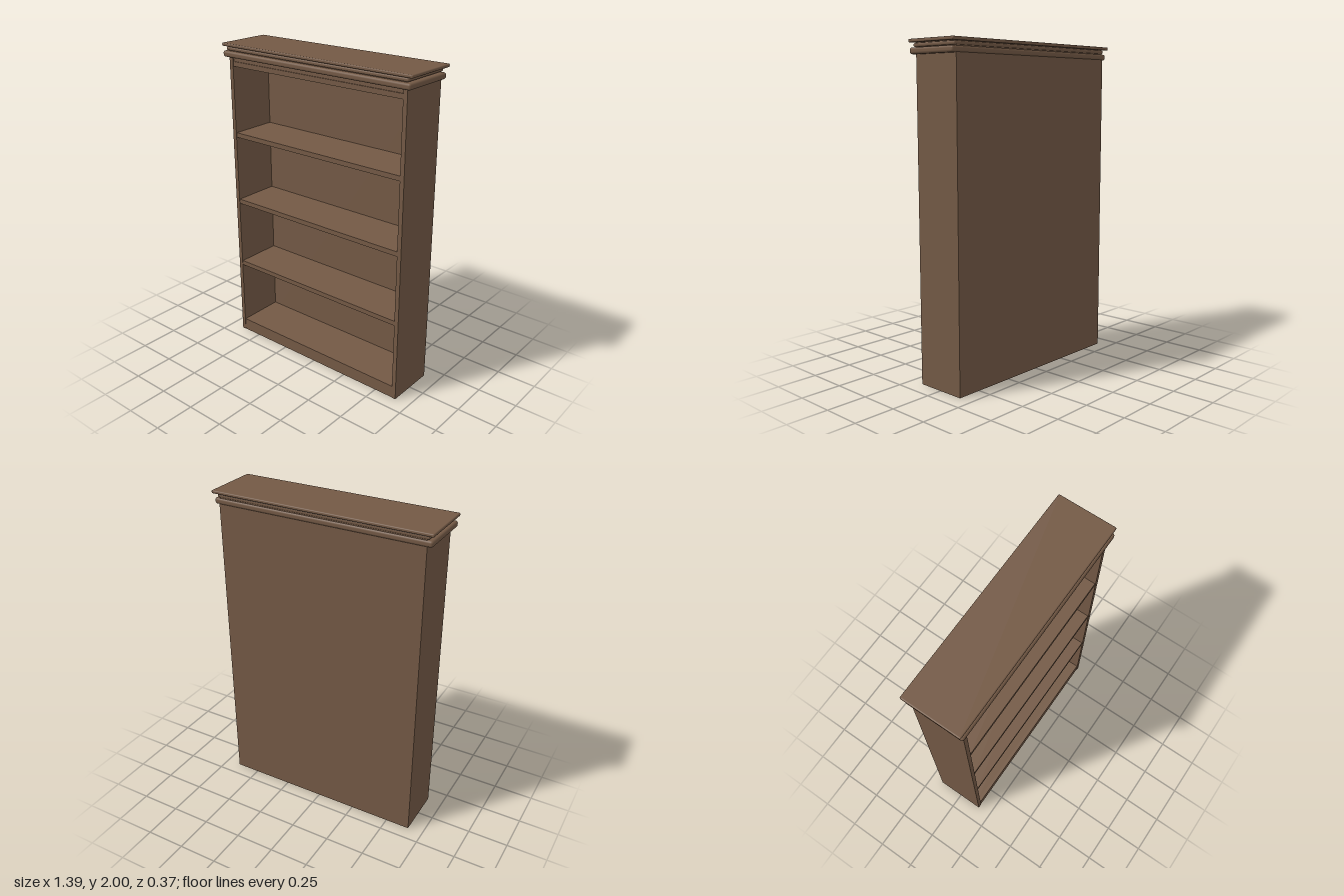
import * as THREE from 'three';
import { RoundedBoxGeometry } from 'three/addons/geometries/RoundedBoxGeometry.js';

const wood = new THREE.MeshStandardMaterial({ color: 0x735945 });

export function createModel() {
  const group = new THREE.Group();
  group.name = 'bookcase';

  // Board given by its extents on each axis; a radius rounds its edges
  const board = (name, [x0, x1], [y0, y1], [z0, z1], radius = 0) => {
    const size = [x1 - x0, y1 - y0, z1 - z0];
    const geometry = radius
      ? new RoundedBoxGeometry(...size, 4, radius)
      : new THREE.BoxGeometry(...size);
    const mesh = new THREE.Mesh(geometry, wood);
    mesh.name = name;
    mesh.position.set((x0 + x1) / 2, (y0 + y1) / 2, (z0 + z1) / 2);
    group.add(mesh);
  };

  const back = -0.164, front = 0.159;
  const outer = 0.653, inner = 0.626;
  const caseTop = 1.92;
  const inside = [-inner, inner];
  const shelfDepth = [back + 0.015, front - 0.004];

  // Case: two sides and a back panel
  board('leftSide', [inner, outer], [0, caseTop], [back, front]);
  board('rightSide', [-outer, -inner], [0, caseTop], [back, front]);
  board('backPanel', inside, [0, caseTop], [back, back + 0.015]);

  // Shelves, from the lowest to the one under the crown
  for (const y of [0.505, 0.955, 1.408]) {
    board('shelf', inside, [y, y + 0.03], shelfDepth);
  }
  board('topBoard', inside, [1.86, 1.89], shelfDepth);
  board('topRail', inside, [1.89, caseTop], [front - 0.03, front - 0.01]);

  // Hollow base: bottom shelf behind a kick board
  board('bottomShelf', inside, [0.052, 0.08], [back + 0.015, front - 0.025]);
  board('kickBoard', inside, [0, 0.08], [front - 0.025, front - 0.003]);

  // Crown: stacked mouldings around a plain core
  board('crownCore', [-0.65, 0.65], [1.918, 1.99], [-0.16, 0.162]);
  board('lowerMoulding', [-0.684, 0.684], [1.917, 1.954], [-0.168, 0.185], 0.014);
  board('middleMoulding', [-0.664, 0.664], [1.957, 1.979], [-0.163, 0.172], 0.009);
  board('crownTop', [-0.693, 0.693], [1.981, 2], [-0.181, 0.181], 0.007);

  return group;
}
